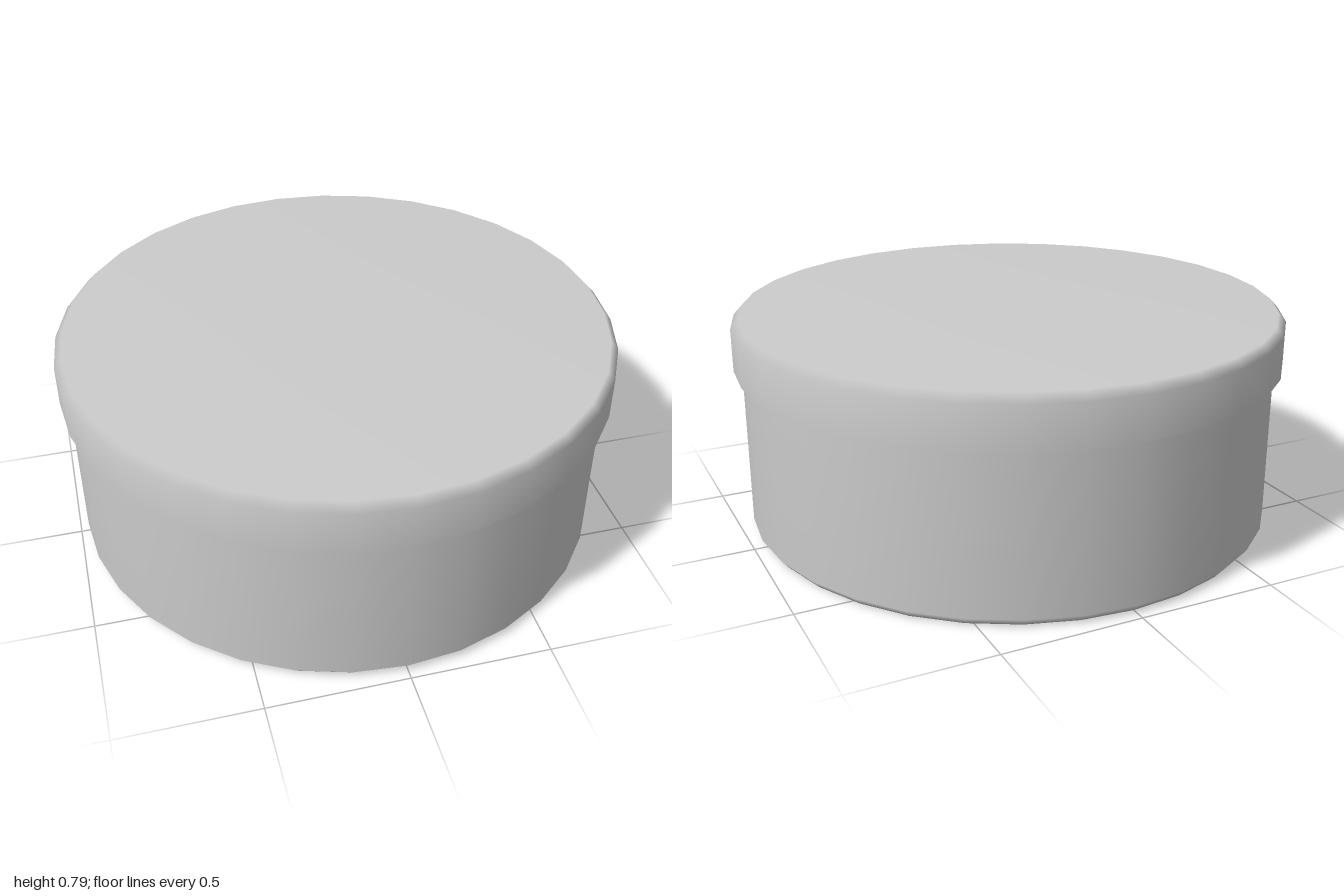
import * as THREE from 'three';

const SIDES = 32;
const material = new THREE.MeshStandardMaterial({ color: 0xcccccc, side: THREE.DoubleSide });

// Smooth surface of revolution from [radius, height] pairs, listed bottom to top on the outside
function turned(name, profile) {
  const points = profile.map(([r, y]) => new THREE.Vector2(r, y));
  const mesh = new THREE.Mesh(new THREE.LatheGeometry(points, SIDES), material);
  mesh.name = name;
  return mesh;
}

export function createModel() {
  const model = new THREE.Group();
  model.name = 'roundBox';

  // Box: floor, bevelled foot and straight wall running up inside the lid
  const box = new THREE.Group();
  box.name = 'box';
  box.add(turned('boxShell', [[0, 0], [0.945, 0], [0.97, 0.03], [0.97, 0.74]]));

  // Lid: overlapping skirt, bevelled shoulder and flat top
  const lid = new THREE.Group();
  lid.name = 'lid';
  lid.add(turned('lidShell', [[1, 0.607], [1, 0.76], [0.973, 0.79], [0, 0.79]]));
  // Underside of the skirt, kept separate for a sharp edge
  lid.add(turned('lidRim', [[0.97, 0.607], [1, 0.607]]));

  model.add(box, lid);
  return model;
}
